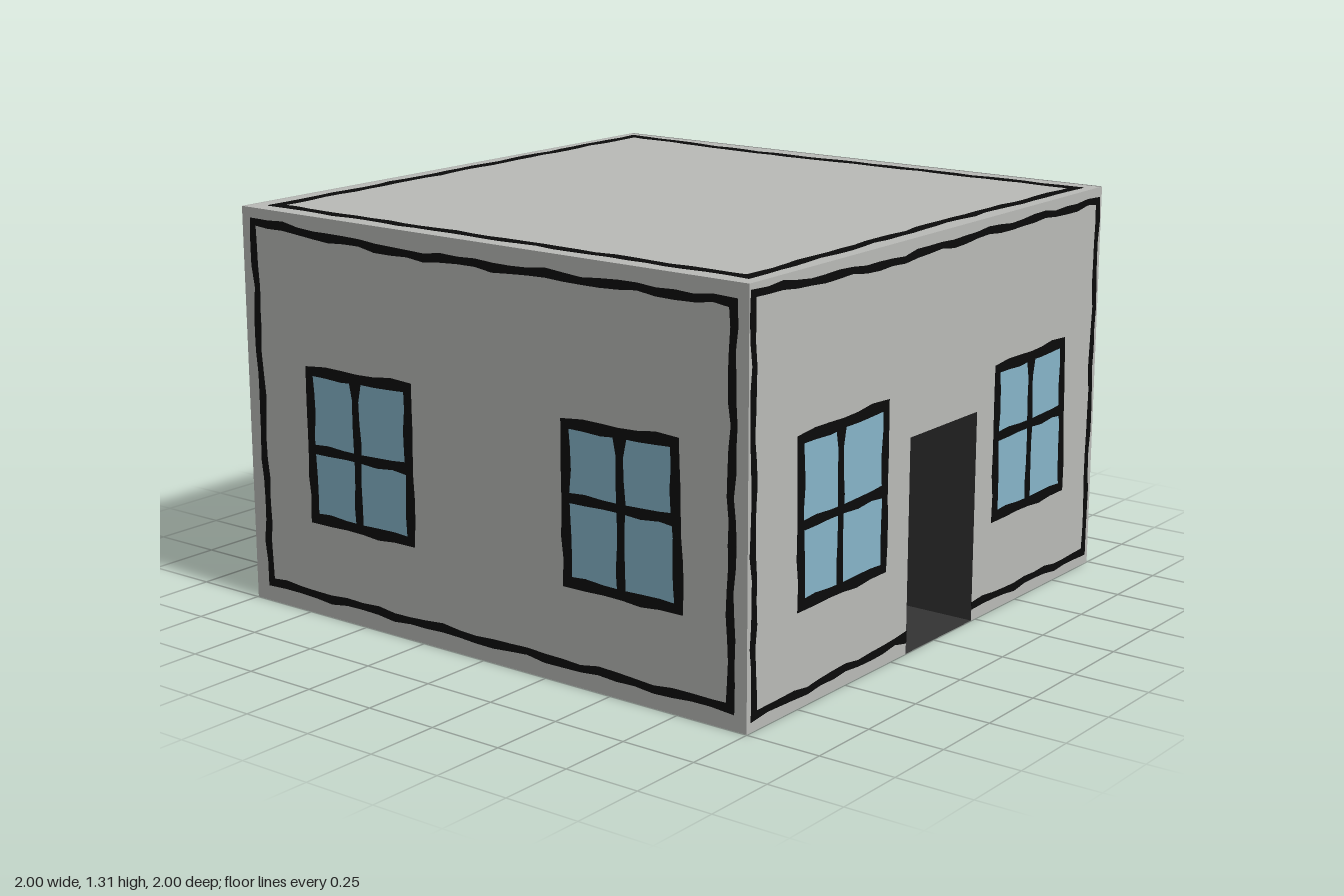
import * as THREE from 'three';

const W = 0.998, H = 1.31; // half width and height of the house

function flat(name, color) {
  const m = new THREE.MeshStandardMaterial({ color });
  m.name = name;
  return m;
}

export function createModel() {
  const plaster = flat('plaster', 0xb9bab7);
  plaster.side = THREE.DoubleSide;
  const door = flat('door', 0x333333);
  door.side = THREE.DoubleSide;
  const ink = flat('ink', 0x0b0b0b);
  const glass = flat('glass', 0x86b4c9);

  const vec = ([x, y]) => new THREE.Vector2(x, y);

  // Thin plate straddling a wall, so it shows inside and outside
  function plate(shape, depth, material, name) {
    const geo = new THREE.ExtrudeGeometry(shape, { depth, bevelEnabled: false });
    geo.translate(0, 0, -depth / 2);
    const mesh = new THREE.Mesh(geo, material);
    mesh.name = name;
    return mesh;
  }

  // Hand-drawn line: a subdivided path with a slight wobble and uneven width
  function stroke(corners, width, closed, name, wobble = 0.004) {
    const pts = [];
    const count = closed ? corners.length : corners.length - 1;
    for (let i = 0; i < count; i++) {
      const a = vec(corners[i]), b = vec(corners[(i + 1) % corners.length]);
      const n = Math.max(2, Math.round(a.distanceTo(b) / 0.07));
      const side = new THREE.Vector2(a.y - b.y, b.x - a.x).normalize();
      for (let k = 0; k < n; k++) {
        const p = a.clone().lerp(b, k / n);
        if (k) p.addScaledVector(side, wobble * (Math.sin(k * 1.3 + i * 2) + 0.5 * Math.sin(k * 2.9 + i)));
        pts.push(p);
      }
    }
    if (!closed) pts.push(vec(corners[corners.length - 1]));

    const left = [], right = [], n = pts.length;
    pts.forEach((p, i) => {
      const prev = closed ? pts[(i + n - 1) % n] : pts[Math.max(i - 1, 0)];
      const next = closed ? pts[(i + 1) % n] : pts[Math.min(i + 1, n - 1)];
      const t1 = p.clone().sub(prev).normalize(), t2 = next.clone().sub(p).normalize();
      const t = t1.clone().add(t2).normalize();
      const mitre = Math.max(0.6, t.dot(t2));
      const half = (width / 2) * (1 + 0.15 * Math.sin(i * 1.9)) / mitre;
      const normal = new THREE.Vector2(-t.y, t.x);
      left.push(p.clone().addScaledVector(normal, half));
      right.push(p.clone().addScaledVector(normal, -half));
    });
    let shape;
    if (closed) {
      // Corners run anticlockwise, so the right side is the outer one
      shape = new THREE.Shape(right);
      shape.holes.push(new THREE.Path(left));
    } else {
      shape = new THREE.Shape([...left, ...right.reverse()]);
    }
    return plate(shape, 0.004, ink, name);
  }

  // Window: glass plate, frame and crossing bars
  function makeWindow(corners, midX, midY) {
    const g = new THREE.Group();
    g.name = 'window';
    const [bl, br, tr, tl] = corners;
    g.add(plate(new THREE.Shape(corners.map(vec)), 0.002, glass, 'windowGlass'));
    g.add(stroke(corners, 0.034, true, 'windowFrame', 0.002));
    g.add(stroke([[midX, bl[1]], [midX - 0.004, tl[1]]], 0.03, false, 'windowUpright', 0.002));
    g.add(stroke([[bl[0], midY - 0.005], [br[0], midY]], 0.03, false, 'windowCrossbar', 0.002));
    return g;
  }

  function rect(x0, y0, x1, y1) {
    return [[x0, y0], [x1, y0], [x1, y1], [x0, y1]];
  }

  function panel(name, outline) {
    const g = new THREE.Group();
    g.name = name;
    const mesh = new THREE.Mesh(new THREE.ShapeGeometry(new THREE.Shape(outline.map(vec))), plaster);
    mesh.name = name + 'Surface';
    g.add(mesh);
    return g;
  }

  const house = new THREE.Group();
  house.name = 'house';
  const wallOutline = rect(-W, 0, W, H);
  const frontInk = [[-0.93, 0.065], [0.94, 0.065], [0.945, 1.25], [0.2, 1.245], [-0.35, 1.24], [-0.95, 1.265]];
  const sideInk = [[-0.965, 0.045], [0.965, 0.045], [0.972, 1.265], [0.2, 1.265], [-0.35, 1.255], [-0.98, 1.28]];

  // Front wall with two windows
  const front = panel('frontWall', wallOutline);
  front.position.z = W;
  front.add(stroke(frontInk, 0.026, true, 'wallOutline'));
  front.add(makeWindow([[-0.715, 0.325], [-0.295, 0.325], [-0.295, 0.82], [-0.72, 0.81]], -0.515, 0.56));
  front.add(makeWindow([[0.34, 0.325], [0.755, 0.325], [0.74, 0.82], [0.335, 0.81]], 0.545, 0.59));

  // Plain back wall
  const back = panel('backWall', wallOutline);
  back.position.z = -W;
  back.rotation.y = Math.PI;
  back.add(stroke(frontInk, 0.026, true, 'wallOutline'));

  // Plain side wall
  const plainSide = panel('plainSideWall', wallOutline);
  plainSide.position.x = -W;
  plainSide.rotation.y = -Math.PI / 2;
  plainSide.add(stroke(sideInk, 0.024, true, 'wallOutline'));

  // Side wall with doorway and two windows
  const d0 = -0.16, d1 = 0.23, dh = 0.695, depth = 0.32;
  const doorSide = panel('doorSideWall',
    [[-W, 0], [d0, 0], [d0, dh], [d1, dh], [d1, 0], [W, 0], [W, H], [-W, H]]);
  doorSide.position.x = W;
  doorSide.rotation.y = Math.PI / 2;
  doorSide.add(stroke([[d1, 0.05], ...sideInk.slice(1), sideInk[0], [d0, 0.055]], 0.024, false, 'wallOutline'));
  doorSide.add(makeWindow([[-0.735, 0.315], [-0.3, 0.315], [-0.3, 0.825], [-0.745, 0.815]], -0.535, 0.56));
  doorSide.add(makeWindow([[0.355, 0.32], [0.785, 0.32], [0.765, 0.82], [0.35, 0.81]], 0.565, 0.59));

  // Door recess: a box left open towards the outside
  const recessGeo = new THREE.BoxGeometry(d1 - d0, dh, depth);
  const idx = Array.from(recessGeo.index.array);
  idx.splice(24, 6);
  recessGeo.setIndex(idx);
  recessGeo.clearGroups();
  recessGeo.translate((d0 + d1) / 2, dh / 2, -depth / 2);
  const recess = new THREE.Mesh(recessGeo, door);
  recess.name = 'doorRecess';
  doorSide.add(recess);

  // Small handle marks on the door
  for (const [x, y] of [[0.153, 0.497], [0.215, 0.425]]) {
    const mark = new THREE.Mesh(new THREE.BoxGeometry(0.04, 0.018, 0.004), ink);
    mark.name = 'doorHandleMark';
    mark.position.set(x, y, -depth);
    mark.rotation.z = -0.8;
    doorSide.add(mark);
  }

  // Flat roof
  const roof = panel('roof', rect(-W, -W, W, W));
  roof.position.y = H - 0.002;
  roof.rotation.x = -Math.PI / 2;
  roof.add(stroke([[-0.925, -0.92], [0.935, -0.92], [0.92, 0.2], [0.94, 0.925], [0.2, 0.92], [-0.35, 0.905], [-0.95, 0.945]],
    0.034, true, 'roofOutline'));

  house.add(front, back, plainSide, doorSide, roof);
  return house;
}
